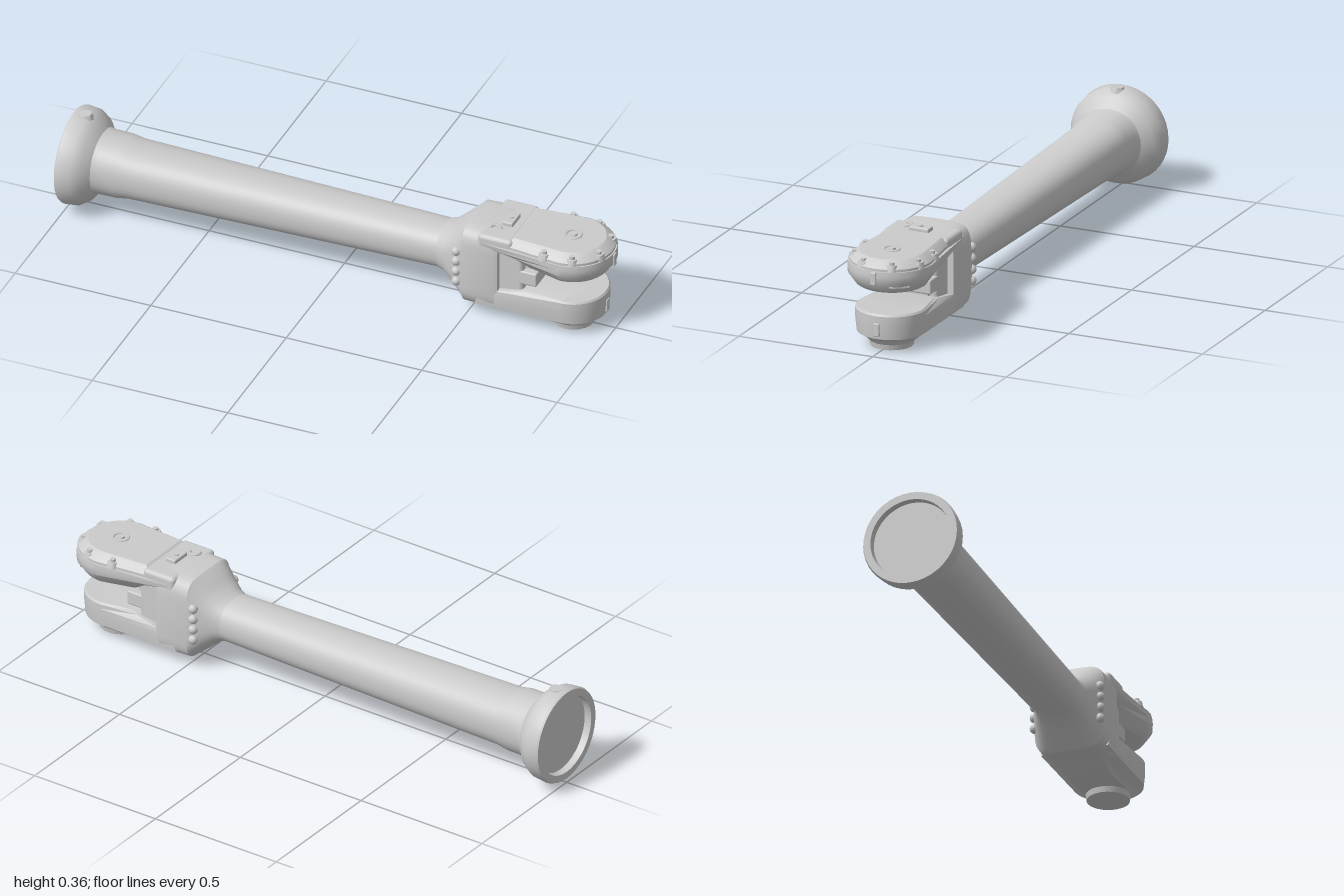
import * as THREE from 'three';
import { toCreasedNormals } from 'three/addons/utils/BufferGeometryUtils.js';
import { RoundedBoxGeometry } from 'three/addons/geometries/RoundedBoxGeometry.js';

const material = new THREE.MeshStandardMaterial({ color: 0xcccccc });
const AXIS_Y = 0.183; // height of the tube's centre line
const PIVOT_X = 0.845; // centre of the fork joint

// Skin a list of equal-length closed rings and cap both ends.
function loft(rings, crease = 0.6) {
  const pos = [];
  const tri = (...pts) => pts.forEach((p) => pos.push(p.x, p.y, p.z));
  const n = rings[0].length;
  for (let i = 0; i < rings.length - 1; i++) {
    for (let j = 0; j < n; j++) {
      const k = (j + 1) % n;
      const a = rings[i][j], b = rings[i][k], c = rings[i + 1][k], d = rings[i + 1][j];
      tri(a, b, c);
      tri(a, c, d);
    }
  }
  for (const [ring, start] of [[rings[0], true], [rings[rings.length - 1], false]]) {
    const mid = ring.reduce((s, p) => s.add(p), new THREE.Vector3()).divideScalar(n);
    for (let j = 0; j < n; j++) {
      const a = ring[j], b = ring[(j + 1) % n];
      if (start) tri(mid, b, a); else tri(mid, a, b);
    }
  }
  const g = new THREE.BufferGeometry();
  g.setAttribute('position', new THREE.Float32BufferAttribute(pos, 3));
  return toCreasedNormals(g, crease);
}

// Superellipse section across x: power 2 is round, higher is boxier.
function section([x, hy, hz, power], sides = 40) {
  const bend = (v) => Math.sign(v) * Math.abs(v) ** (2 / power);
  return Array.from({ length: sides }, (_, i) => {
    const t = (i / sides) * Math.PI * 2;
    return new THREE.Vector3(x, AXIS_Y + hy * bend(Math.cos(t)), hz * bend(Math.sin(t)));
  });
}

// Horizontal tongue outline: straight back edge, round nose at the pivot.
function tongue([y, backX, halfBack, r], steps = 28) {
  const ring = [new THREE.Vector3(backX, y, halfBack)];
  for (let i = 0; i <= steps; i++) {
    const t = (i / steps) * Math.PI;
    ring.push(new THREE.Vector3(PIVOT_X + r * Math.sin(t), y, r * Math.cos(t)));
  }
  ring.push(new THREE.Vector3(backX, y, -halfBack));
  return ring;
}

export function createModel() {
  const model = new THREE.Group();
  const add = (name, geometry, x = 0, y = 0, z = 0) => {
    const mesh = new THREE.Mesh(geometry, material);
    mesh.name = name;
    mesh.position.set(x, y, z);
    model.add(mesh);
    return mesh;
  };
  const disc = (r1, r2, h, sides = 12) => toCreasedNormals(new THREE.CylinderGeometry(r1, r2, h, sides), 0.7);

  // Flange with a recessed end, running into the tapered tube
  add('flangeAndTube', loft([
    [-0.975, 0.14, 0.142, 2], [-1, 0.142, 0.145, 2], [-1, 0.168, 0.17, 2], [-0.99, 0.172, 0.175, 2],
    [-0.945, 0.168, 0.17, 2], [-0.915, 0.148, 0.152, 2], [-0.89, 0.114, 0.118, 2.1],
    [-0.87, 0.109, 0.113, 2.2], [-0.81, 0.107, 0.111, 2.3], [-0.77, 0.096, 0.109, 2.4],
    [0.36, 0.077, 0.09, 2.4], [0.42, 0.078, 0.088, 2.4],
  ].map((s) => section(s))));
  const knob = add('flangeKnob', disc(0.022, 0.03, 0.03), -0.955, 0.342, 0);
  knob.rotation.z = 0.1;

  // Flared neck and squared yoke block
  add('yokeBlock', loft([
    [0.37, 0.077, 0.088, 2.4], [0.40, 0.086, 0.096, 2.5], [0.44, 0.118, 0.113, 3], [0.475, 0.146, 0.125, 4],
    [0.485, 0.152, 0.128, 5], [0.60, 0.152, 0.128, 6], [0.615, 0.149, 0.122, 6],
  ].map((s) => section(s)), 0.5));
  add('forkWeb', new RoundedBoxGeometry(0.16, 0.25, 0.2, 2, 0.015), 0.62, 0.18, 0);
  add('forkStop', new RoundedBoxGeometry(0.08, 0.052, 0.2, 2, 0.006), 0.71, 0.183, 0);
  for (const z of [-0.065, 0.065]) {
    add('stopRib', new THREE.BoxGeometry(0.03, 0.09, 0.018), 0.705, 0.183, z);
  }

  // Upper fork arm with its underside sweeping up into the block
  add('upperFork', loft([
    [0.22, 0.73, 0.085, 0.115], [0.226, 0.72, 0.09, 0.124], [0.262, 0.67, 0.11, 0.15],
    [0.285, 0.6, 0.125, 0.151], [0.303, 0.55, 0.125, 0.149],
  ].map((s) => tongue(s))));
  add('upperForkBridge', new RoundedBoxGeometry(0.13, 0.06, 0.25, 2, 0.015), 0.605, 0.304, 0);

  // Lower fork arm, tapering to a boss underneath
  add('lowerFork', loft([
    [0.02, 0.68, 0.07, 0.08], [0.034, 0.55, 0.09, 0.09], [0.052, 0.53, 0.122, 0.12],
    [0.1, 0.55, 0.126, 0.125], [0.118, 0.6, 0.122, 0.125], [0.135, 0.7, 0.11, 0.125], [0.142, 0.72, 0.1, 0.12],
  ].map((s) => tongue(s))));
  add('lowerBoss', disc(0.084, 0.074, 0.05, 20), PIVOT_X, 0.025, 0);

  // Bolted cover plate on the upper arm
  add('coverPlate', loft([
    [0.3, 0.652, 0.122, 0.144], [0.312, 0.652, 0.122, 0.144],
    [0.332, 0.66, 0.108, 0.122], [0.338, 0.67, 0.1, 0.112],
  ].map((s) => tongue(s)), 0.35));
  const ring = add('coverRing', new THREE.TorusGeometry(0.027, 0.004, 6, 24), PIVOT_X, 0.338, 0);
  ring.rotation.x = Math.PI / 2;
  add('coverCentre', disc(0.012, 0.014, 0.008), PIVOT_X, 0.34, 0);
  for (const side of [-1, 1]) {
    for (const [x, z] of [[0.69, 0.093], [0.79, 0.125], [0.89, 0.118], [0.96, 0.053]]) {
      add('boltSeat', disc(0.018, 0.024, 0.022), x, 0.313, z * side);
      add('coverBolt', disc(0.0105, 0.0105, 0.022, 8), x, 0.323, z * side);
    }
  }

  // Small keys on the arm tips
  add('upperTipKey', new RoundedBoxGeometry(0.016, 0.047, 0.022, 2, 0.004), 0.992, 0.277, 0);
  add('lowerTipKey', new RoundedBoxGeometry(0.016, 0.048, 0.022, 2, 0.004), 0.966, 0.086, 0);
  const notch = add('tipTab', new THREE.BoxGeometry(0.02, 0.006, 0.07), 0.95, 0.246, -0.075);
  notch.rotation.y = 0.6;

  // Fittings on top of the block
  add('topLatch', new RoundedBoxGeometry(0.04, 0.02, 0.075, 2, 0.005), 0.615, 0.338, 0);
  add('latchPin', disc(0.009, 0.009, 0.016, 8), 0.615, 0.344, 0);
  const hook = add('topHook', new THREE.TorusGeometry(0.018, 0.006, 6, 14, Math.PI * 1.2), 0.585, 0.335, 0.065);
  hook.rotation.x = -Math.PI / 2;

  // Columns of rounded studs on both sides of the neck
  for (const side of [-1, 1]) {
    for (let i = 0; i < 4; i++) {
      add('neckStud', new THREE.SphereGeometry(0.017, 12, 8), 0.463, 0.123 + i * 0.04, 0.119 * side);
    }
  }
  return model;
}
